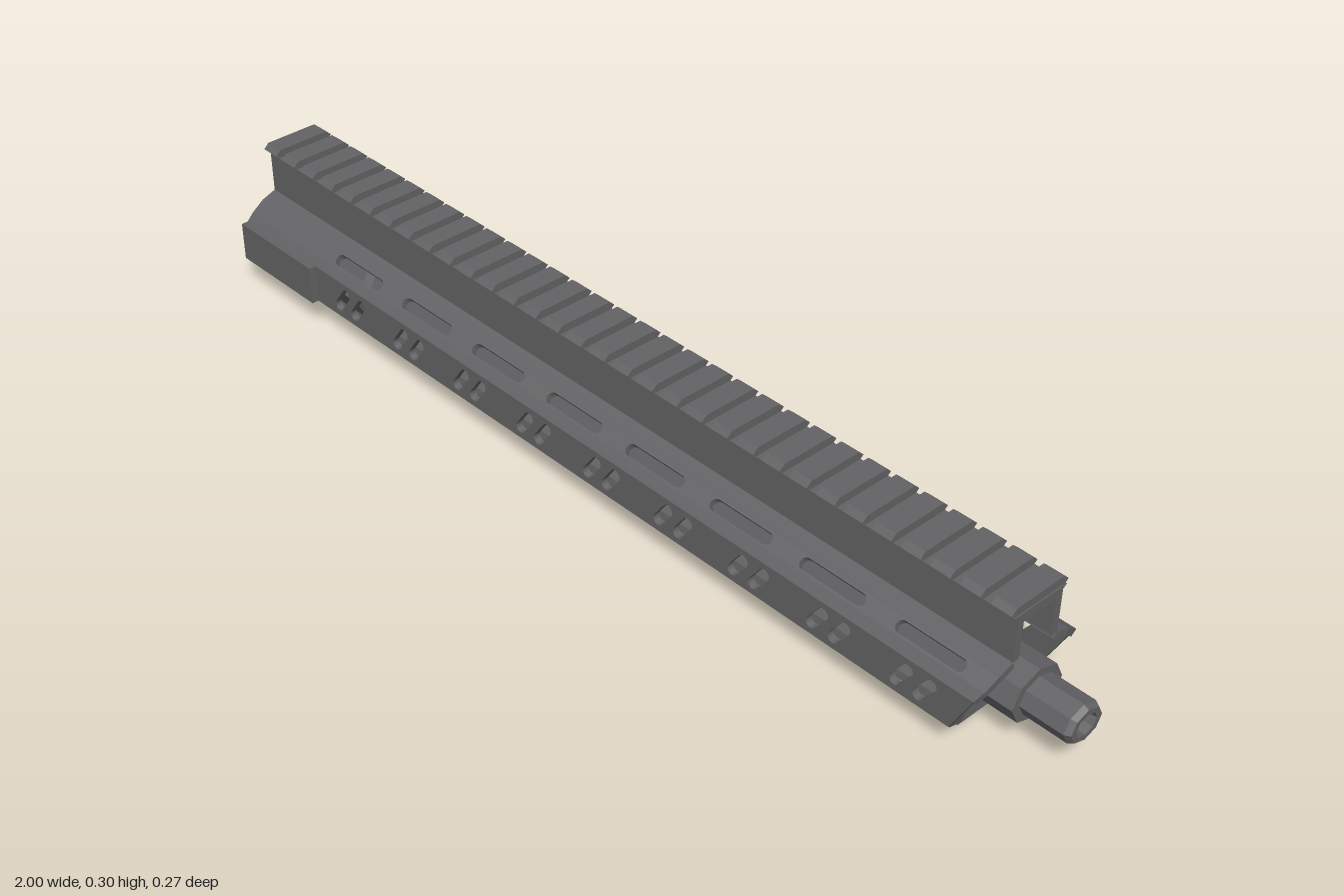
import * as THREE from 'three';

const START = -1;
// the front end is raked back towards the bottom
const endAt = y => Math.min(0.89, 0.802 + 0.52 * y);

// capsule hole centred on (cx, cy), tilted by angle
function capsule(cx, cy, half, r, angle = 0) {
  const path = new THREE.Path();
  const dx = half * Math.cos(angle), dy = half * Math.sin(angle);
  path.absarc(cx + dx, cy + dy, r, angle - Math.PI / 2, angle + Math.PI / 2, false);
  path.absarc(cx - dx, cy - dy, r, angle + Math.PI / 2, angle + Math.PI * 1.5, false);
  path.closePath();
  return path;
}

// long plate between section points a and b, given as [z, y], thickened inwards
function plate(a, b, thickness, holes = []) {
  const along = new THREE.Vector3(0, b[1] - a[1], b[0] - a[0]);
  const width = along.length();
  along.normalize();
  const shape = new THREE.Shape([
    new THREE.Vector2(START, 0), new THREE.Vector2(endAt(a[1]), 0),
    new THREE.Vector2(endAt(b[1]), width), new THREE.Vector2(START, width)
  ]);
  shape.holes.push(...holes);
  const geo = new THREE.ExtrudeGeometry(shape, { depth: thickness, bevelEnabled: false, curveSegments: 5 });
  const ex = new THREE.Vector3(1, 0, 0);
  const m = new THREE.Matrix4().makeBasis(ex, along, ex.clone().cross(along));
  m.setPosition(0, a[1], a[0]);
  return geo.applyMatrix4(m);
}

// symmetric [z, y] profile drawn out along x
function bar(points, x, length) {
  const shape = new THREE.Shape(points.map(p => new THREE.Vector2(p[0], p[1])));
  const geo = new THREE.ExtrudeGeometry(shape, { depth: length, bevelEnabled: false });
  return geo.rotateY(Math.PI / 2).translate(x, 0, 0);
}

// eight-sided turned part along x from [radius, x] points, flattened in height
function turned(points, squash) {
  let geo = new THREE.LatheGeometry(points.map(p => new THREE.Vector2(p[0], p[1])), 8);
  geo = geo.rotateZ(-Math.PI / 2).scale(1, squash, 1).translate(0, 0.106, 0).toNonIndexed();
  geo.computeVertexNormals();
  return geo;
}

export function createModel() {
  const model = new THREE.Group();
  model.name = 'railedHandguard';
  const metal = new THREE.MeshStandardMaterial({ color: 0x636365 });
  metal.name = 'darkGreyMetal';
  const add = (name, geo, parent = model) => {
    const mesh = new THREE.Mesh(geo, metal);
    mesh.name = name;
    parent.add(mesh);
    return mesh;
  };

  // half section of the shell, from the top wall down to the floor
  const section = [
    ['upperWall', 0.052, 0.275], ['shoulder', 0.052, 0.19],
    ['upperSlotStrip', 0.082, 0.179], ['upperBevel', 0.108, 0.16],
    ['sidePanel', 0.122, 0.145], ['lowerBevel', 0.122, 0.066],
    ['lowerSlotStrip', 0.108, 0.05], ['lowerShoulder', 0.082, 0.03],
    ['floorEdge', 0.052, 0.012]
  ];

  // long slots, shortened where they would cross the raked end
  const longSlots = (width, limit) => {
    const holes = [];
    for (let i = 0; i < 8; i++) {
      const c = -0.668 + 0.205 * i;
      const x0 = c - 0.07, x1 = Math.min(c + 0.07, limit - 0.012);
      holes.push(capsule((x0 + x1) / 2, width / 2, (x1 - x0) / 2 - 0.011, 0.011));
    }
    return holes;
  };

  // pairs of slanted slots in the side panels
  const slantedSlots = (width, lean) => {
    const holes = [];
    for (let i = 0; i < 9; i++) {
      for (const d of [-0.024, 0.024]) {
        holes.push(capsule(-0.668 + 0.1785 * i + d, width / 2, 0.021, 0.011, lean * 0.95));
      }
    }
    return holes;
  };

  for (const side of [1, -1]) {
    const half = new THREE.Group();
    half.name = side > 0 ? 'leftShell' : 'rightShell';
    model.add(half);
    for (let i = 0; i < section.length - 1; i++) {
      const [name, z0, y0] = section[i];
      const [, z1, y1] = section[i + 1];
      const width = Math.hypot(z1 - z0, y1 - y0);
      let holes = [];
      if (name.endsWith('SlotStrip')) holes = longSlots(width, endAt(Math.min(y0, y1)));
      if (name === 'sidePanel') holes = slantedSlots(width, -side);
      const a = [side * z0, y0], b = [side * z1, y1];
      add(name, side > 0 ? plate(a, b, 0.014, holes) : plate(b, a, 0.014, holes), half);
    }
    // raised pad at the rear
    const pad = add('rearPad', new THREE.BoxGeometry(0.225, 0.079, 0.014), half);
    pad.position.set(-0.8875, 0.1055, side * 0.129);
  }

  add('floor', plate([0.052, 0], [-0.052, 0], 0.025));

  // top rail with cross teeth
  add('railBase', bar([
    [-0.052, 0.263], [0.052, 0.263], [0.052, 0.275], [0.06, 0.281], [-0.06, 0.281], [-0.052, 0.275]
  ], START, 1.89));
  const teeth = new THREE.Group();
  teeth.name = 'railTeeth';
  model.add(teeth);
  for (let i = 0; i < 32; i++) {
    add('railTooth', bar([
      [-0.052, 0.275], [0.052, 0.275], [0.066, 0.287], [0.055, 0.297], [-0.055, 0.297], [-0.066, 0.287]
    ], START + 0.0596 * i, 0.04), teeth);
  }

  // hollow nut at the rear, with a groove in its front face
  add('barrelNut', turned([
    [0, -0.85], [0.09, -0.85], [0.09, -1], [0.107, -1], [0.107, -0.67],
    [0.09, -0.66], [0.08, -0.7], [0.05, -0.7]
  ], 0.74));

  // barrel with a stepped tip and a shallow bore
  add('barrel', turned([
    [0, -0.84], [0.06, -0.84], [0.06, 0.905], [0.043, 0.905], [0.043, 0.99],
    [0.037, 1], [0.025, 1], [0.02, 0.95], [0, 0.95]
  ], 0.82));

  return model;
}
